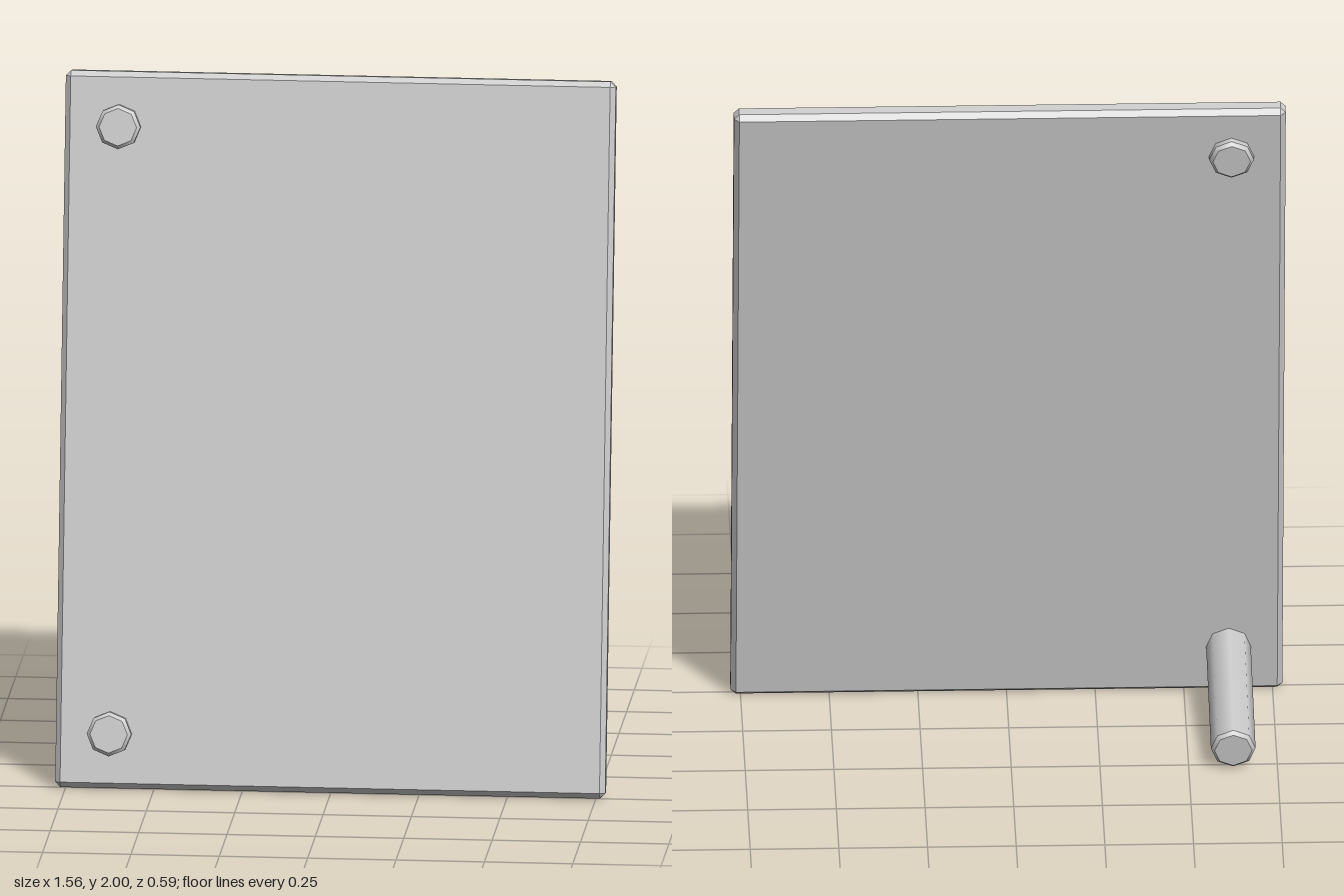
import * as THREE from 'three';
import { mergeGeometries } from 'three/addons/utils/BufferGeometryUtils.js';
import { ConvexGeometry } from 'three/addons/geometries/ConvexGeometry.js';

// Box with every edge and corner chamfered by c
function chamferedBox(w, h, d, c) {
  const half = [w / 2, h / 2, d / 2];
  const points = [];
  for (const sx of [-1, 1]) for (const sy of [-1, 1]) for (const sz of [-1, 1]) {
    for (let axis = 0; axis < 3; axis++) {
      const p = half.map((v, i) => (i === axis ? v : v - c));
      points.push(new THREE.Vector3(p[0] * sx, p[1] * sy, p[2] * sz));
    }
  }
  return new ConvexGeometry(points);
}

// Eight-sided pin along z with chamfered ends; each band is smooth, edges stay sharp
function chamferedPin(r, back, front, c) {
  const profile = [[0, back], [r - c, back], [r, back + c], [r, front - c], [r - c, front], [0, front]];
  const bands = [];
  for (let i = 0; i < profile.length - 1; i++) {
    const [r0, z0] = profile[i];
    const [r1, z1] = profile[i + 1];
    if (z0 === z1) {
      const disc = new THREE.CircleGeometry(r - c, 8, Math.PI / 2);
      if (z0 === back) disc.rotateY(Math.PI);
      bands.push(disc.translate(0, 0, z0));
    } else {
      const band = new THREE.CylinderGeometry(r1, r0, z1 - z0, 8, 1, true);
      bands.push(band.rotateX(Math.PI / 2).translate(0, 0, (z0 + z1) / 2));
    }
  }
  return mergeGeometries(bands);
}

export function createModel() {
  const model = new THREE.Group();
  const grey = new THREE.MeshStandardMaterial({ color: 0xcccccc });
  grey.name = 'light grey';

  // Everything leans back ten degrees
  const stand = new THREE.Group();
  stand.name = 'leaningStand';
  stand.rotation.x = -THREE.MathUtils.degToRad(10);
  stand.position.set(0, 1, 0.078);
  model.add(stand);

  const add = (name, geometry, x = 0, y = 0) => {
    const mesh = new THREE.Mesh(geometry, grey);
    mesh.name = name;
    mesh.position.set(x, y, 0);
    stand.add(mesh);
  };

  add('panel', chamferedBox(1.556, 2.026, 0.06, 0.015));
  // Short bolt through the top corner, long prop through the bottom corner
  add('topBolt', chamferedPin(0.063, -0.057, 0.06, 0.01), -0.625, 0.858);
  add('supportLeg', chamferedPin(0.063, -0.525, 0.06, 0.01), -0.625, -0.858);

  return model;
}
